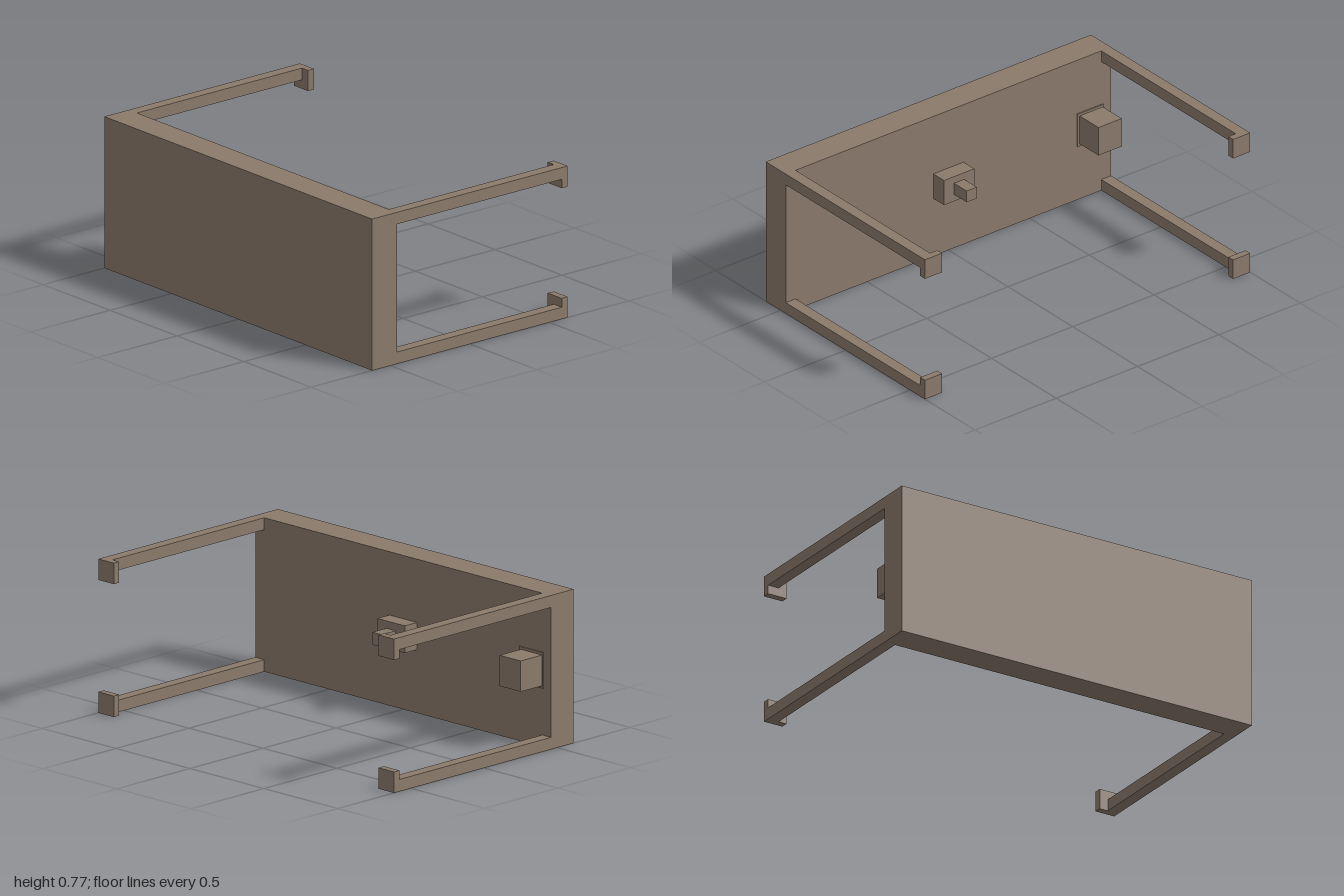
import * as THREE from 'three';

const H = 0.77;      // overall height
const FRONT = 0.615; // front face z
const INNER = 0.46;  // inner face of the panel
const BACK = -0.615; // rear end of the arms
const MID = H / 2;

export function createModel() {
  const model = new THREE.Group();
  model.name = 'clipOnCover';
  const brown = new THREE.MeshStandardMaterial({ color: 0x8b7a6b });
  brown.name = 'warm brown';

  // Box given by its limits on each axis
  function block(name, [x0, x1], [y0, y1], [z0, z1], parent = model) {
    const mesh = new THREE.Mesh(new THREE.BoxGeometry(x1 - x0, y1 - y0, z1 - z0), brown);
    mesh.position.set((x0 + x1) / 2, (y0 + y1) / 2, (z0 + z1) / 2);
    mesh.name = name;
    parent.add(mesh);
  }

  // Thick front panel
  block('frontPanel', [-1, 1], [0, H], [INNER, FRONT]);

  // Four corner arms, each ending in a hook turned inwards
  for (const side of [-1, 1]) {
    for (const top of [false, true]) {
      const arm = new THREE.Group();
      arm.name = (top ? 'upper' : 'lower') + (side > 0 ? 'Left' : 'Right') + 'Arm';
      const spanX = (w) => (side > 0 ? [1 - w, 1] : [-1, -1 + w]);
      const spanY = (h) => (top ? [H - h, H] : [0, h]);
      block('armBar', spanX(0.06), spanY(0.06), [BACK + 0.037, INNER], arm);
      block('armHook', spanX(0.105), spanY(0.105), [BACK, BACK + 0.037], arm);
      model.add(arm);
    }
  }

  // Centre button: wide base and narrow pin
  block('buttonBase', [-0.093, 0.093], [MID - 0.068, MID + 0.068], [0.377, INNER]);
  block('buttonPin', [-0.031, 0.031], [MID - 0.031, MID + 0.031], [0.28, 0.377]);

  // Side boss on a thin flange
  block('bossFlange', [-0.95, -0.79], [MID - 0.09, MID + 0.09], [0.454, INNER]);
  block('sideBoss', [-0.945, -0.802], [MID - 0.077, MID + 0.077], [0.308, 0.454]);

  return model;
}
